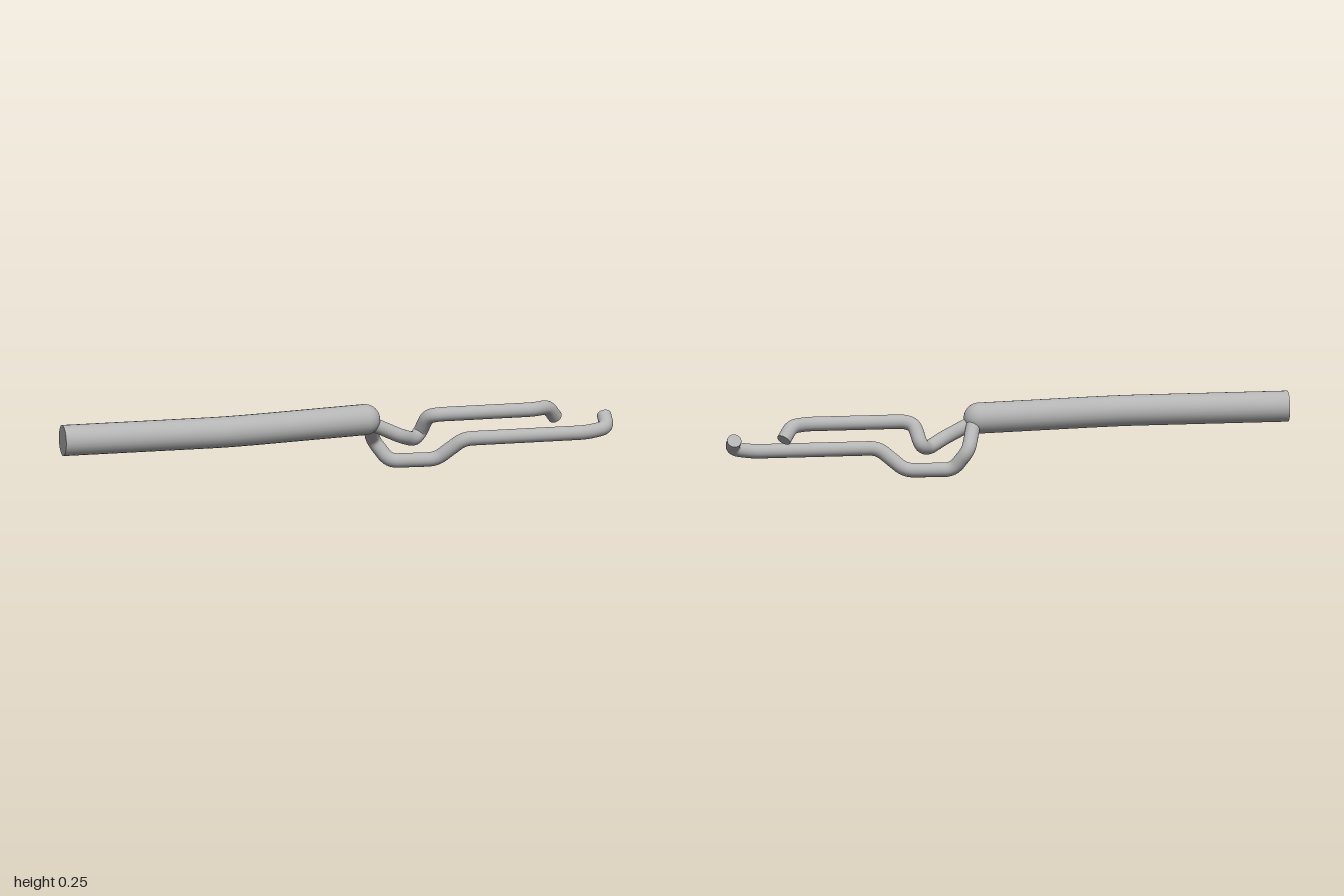
import * as THREE from 'three';

// Path through the points with each corner rounded off by up to `round`
function bentPath(points, round) {
  const p = points.map((q) => new THREE.Vector3(...q));
  const path = new THREE.CurvePath();
  let from = p[0];
  for (let i = 1; i < p.length - 1; i++) {
    const a = p[i - 1].clone().sub(p[i]);
    const b = p[i + 1].clone().sub(p[i]);
    const start = p[i].clone().addScaledVector(a.clone().normalize(), Math.min(round, a.length() * 0.45));
    const end = p[i].clone().addScaledVector(b.clone().normalize(), Math.min(round, b.length() * 0.45));
    path.add(new THREE.LineCurve3(from, start));
    path.add(new THREE.QuadraticBezierCurve3(start, p[i], end));
    from = end;
  }
  path.add(new THREE.LineCurve3(from, p[p.length - 1]));
  return path;
}

export function createModel() {
  const model = new THREE.Group();
  model.name = 'twoProngedTool';
  const metal = new THREE.MeshStandardMaterial({ color: 0xb4b4b4 });
  metal.name = 'grey metal';

  // Round bar with a flat cap at the chosen end (0 = start, 1 = finish)
  function bar(name, points, radius, round, capEnd) {
    const group = new THREE.Group();
    group.name = name;
    const path = bentPath(points, round);
    const rod = new THREE.Mesh(new THREE.TubeGeometry(path, 120, radius, 24), metal);
    rod.name = name + 'Rod';
    const cap = new THREE.Mesh(new THREE.CircleGeometry(radius, 24), metal);
    cap.name = name + 'Cap';
    const outward = path.getTangentAt(capEnd).multiplyScalar(capEnd ? 1 : -1);
    cap.quaternion.setFromUnitVectors(new THREE.Vector3(0, 0, 1), outward);
    cap.position.copy(path.getPointAt(capEnd));
    group.add(rod, cap);
    model.add(group);
    return group;
  }

  // Thick, gently bent handle with a rounded nose
  const handle = bar('handle', [
    [-1, 0.192, 0.079], [-0.43, 0.192, 0.079], [-0.31, 0.192, 0.064], [0.1, 0.192, -0.004],
  ], 0.054, 0.05, 0);
  const nose = new THREE.Mesh(new THREE.SphereGeometry(0.054, 32, 20), metal);
  nose.name = 'handleNose';
  nose.position.set(0.1, 0.192, -0.004);
  handle.add(nose);

  // Short upper prong: dips, hooks back up, runs straight, then turns down
  bar('upperProng', [
    [0.1, 0.188, 0], [0.23, 0.125, -0.015], [0.29, 0.1, -0.062], [0.32, 0.115, -0.096],
    [0.335, 0.18, -0.052], [0.365, 0.191, -0.03], [0.71, 0.191, -0.03],
    [0.77, 0.19, -0.065], [0.803, 0.147, -0.095],
  ], 0.025, 0.025, 1);

  // Long lower prong: drops under the handle, steps up, ends in a raised tip
  bar('lowerProng', [
    [0.12, 0.18, -0.015], [0.155, 0.095, -0.108], [0.205, 0.025, -0.078], [0.37, 0.025, -0.064],
    [0.46, 0.1, -0.03], [0.9, 0.1, -0.03], [0.975, 0.112, -0.036], [0.975, 0.148, -0.085],
  ], 0.025, 0.03, 1);

  return model;
}
